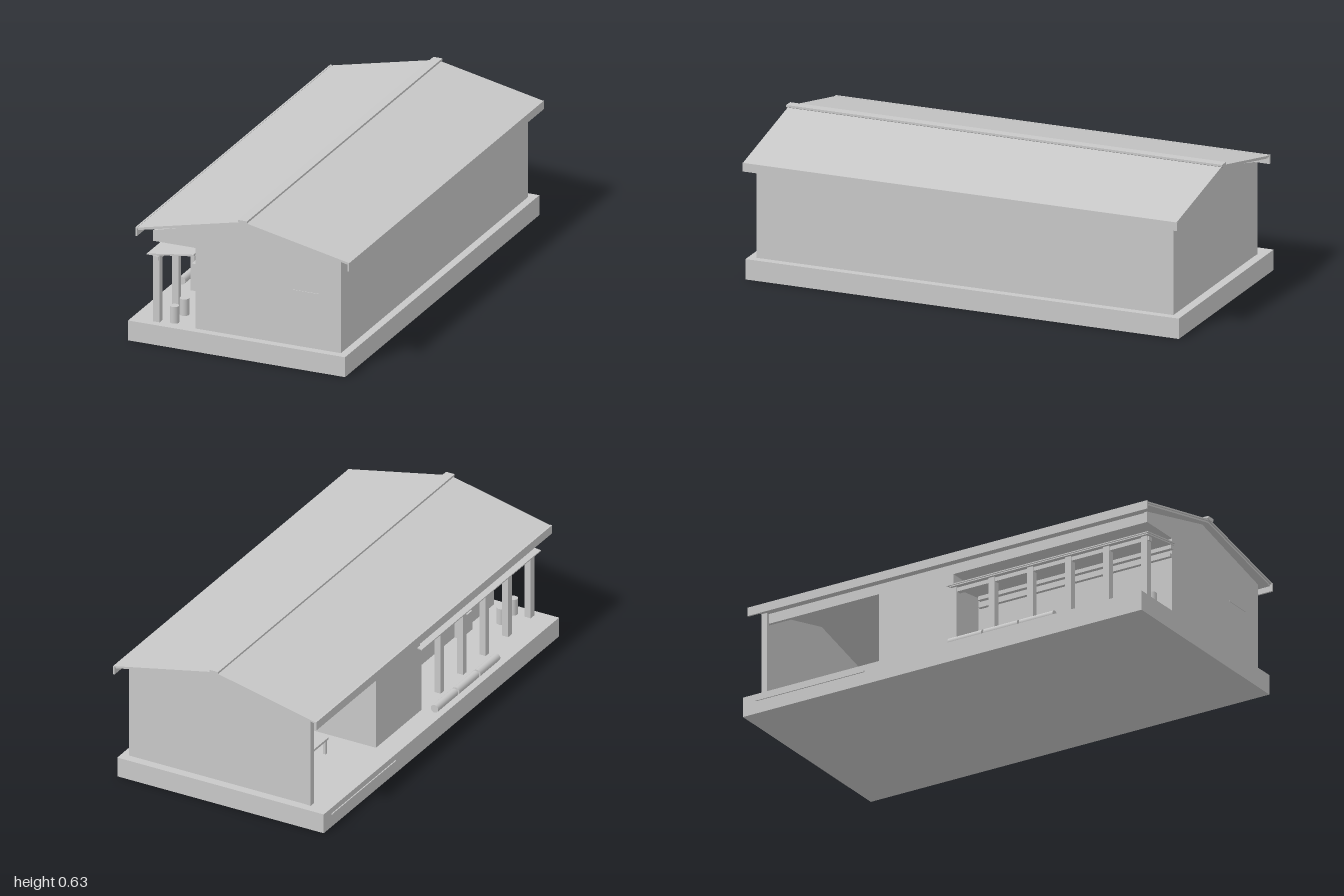
import * as THREE from 'three';

export function createModel() {
  const model = new THREE.Group();
  const grey = new THREE.MeshStandardMaterial({ color: 0xc8c8c8 });

  function add(name, geometry) {
    const mesh = new THREE.Mesh(geometry, grey);
    mesh.name = name;
    model.add(mesh);
    return mesh;
  }
  // box given by its limits on each axis
  function box(name, x0, x1, y0, y1, z0, z1) {
    const g = new THREE.BoxGeometry(x1 - x0, y1 - y0, z1 - z0);
    g.translate((x0 + x1) / 2, (y0 + y1) / 2, (z0 + z1) / 2);
    return add(name, g);
  }
  // outline in x, y drawn out along z
  function prism(name, points, z0, z1) {
    const shape = new THREE.Shape(points.map(([x, y]) => new THREE.Vector2(x, y)));
    const g = new THREE.ExtrudeGeometry(shape, { depth: z1 - z0, bevelEnabled: false });
    g.translate(0, 0, z0);
    return add(name, g);
  }
  // sloping sheet between two points of its lower face
  function sheet(name, [xa, ya], [xb, yb], t, z0, z1) {
    return prism(name, [[xa, ya], [xb, yb], [xb, yb + t], [xa, ya + t]], z0, z1);
  }

  // Platform and the thin bumper rail on its side
  box('platform', -0.51, 0.49, 0, 0.09, -0.995, 0.99);
  box('dockBumper', -0.515, -0.51, 0.057, 0.063, -0.93, -0.39);

  // End walls; the front one is cut away for the porch
  prism('frontWall', [[-0.215, 0.09], [0.455, 0.09], [0.455, 0.505], [0.02, 0.612],
    [-0.41, 0.503], [-0.41, 0.455], [-0.215, 0.455]], 0.94, 0.955);
  prism('backWall', [[-0.42, 0.09], [0.455, 0.09], [0.455, 0.505], [0.02, 0.612],
    [-0.42, 0.501]], -0.955, -0.94);

  // Long walls, projecting room and the wall of the open bay
  box('leftWall', 0.44, 0.455, 0.09, 0.505, -0.94, 0.94);
  box('porchWall', -0.215, -0.2, 0.09, 0.455, -0.01, 0.94);
  box('projectingRoom', -0.41, -0.2, 0.09, 0.5, -0.38, -0.01);
  box('bayPartition', -0.2, 0.44, 0.09, 0.5, -0.38, -0.365);
  box('porchLintel', -0.41, -0.2, 0.455, 0.5, -0.01, 0.94);
  box('bayLintel', -0.41, -0.395, 0.455, 0.5, -0.94, -0.38);
  box('cornerPost', -0.425, -0.408, 0.09, 0.5, -0.957, -0.93);
  box('wallSlot', 0.23, 0.355, 0.338, 0.342, 0.955, 0.958);

  // Roof: two layers on each slope, fascias and ridge cap
  for (const [eaveX, eaveY] of [[-0.468, 0.505], [0.508, 0.508]]) {
    for (const [lift, z] of [[0, 0.985], [0.007, 0.993]]) {
      const eave = [eaveX, eaveY + lift], ridge = [0.02, 0.612 + lift];
      const [a, b] = eaveX < 0 ? [eave, ridge] : [ridge, eave];
      sheet('roofSlope', a, b, 0.007, -z, z);
    }
  }
  box('rightFascia', -0.474, -0.466, 0.482, 0.521, -0.995, 0.995);
  box('leftFascia', 0.503, 0.511, 0.484, 0.522, -0.995, 0.995);
  prism('ridgeCap', [[0.008, 0.618], [0.032, 0.618], [0.042, 0.625], [0.042, 0.634],
    [0, 0.634], [0, 0.625]], -0.998, 0.998);

  // Porch canopy with beams and columns
  sheet('canopyLowerSheet', [-0.425, 0.391], [-0.217, 0.42], 0.005, -0.02, 0.965);
  sheet('canopyUpperSheet', [-0.432, 0.395], [-0.217, 0.425], 0.005, -0.03, 0.972);
  box('canopyOuterBeam', -0.406, -0.383, 0.372, 0.39, 0, 0.962);
  box('canopyLedger', -0.235, -0.216, 0.4, 0.419, 0, 0.962);
  box('canopyRail', -0.232, -0.216, 0.366, 0.382, 0, 0.955);
  for (let i = 0; i < 6; i++) {
    const z = 0.94 - i * 0.19;
    box('porchColumn', -0.41, -0.38, 0.09, 0.393, z - 0.015, z + 0.015);
  }

  // Low box against the porch wall
  box('porchBox', -0.245, -0.215, 0.09, 0.18, 0.62, 0.72);

  // Barrels at the front of the porch
  for (const [x, z] of [[-0.325, 0.925], [-0.322, 0.83]]) {
    const barrel = add('barrel', new THREE.CylinderGeometry(0.02, 0.02, 0.075, 16));
    barrel.position.set(x, 0.1275, z);
  }

  // Three logs along the platform edge
  for (let i = 0; i < 3; i++) {
    const log = add('log', new THREE.CylinderGeometry(0.018, 0.018, 0.168, 20));
    log.rotation.x = Math.PI / 2;
    log.position.set(-0.47, 0.108, 0.093 + i * 0.178);
  }

  // Work table in the open bay
  box('tableTop', -0.26, -0.16, 0.155, 0.165, -0.88, -0.52);
  for (const x of [-0.25, -0.17]) {
    for (const z of [-0.87, -0.53]) {
      box('tableLeg', x - 0.006, x + 0.006, 0.09, 0.155, z - 0.006, z + 0.006);
    }
  }

  return model;
}
